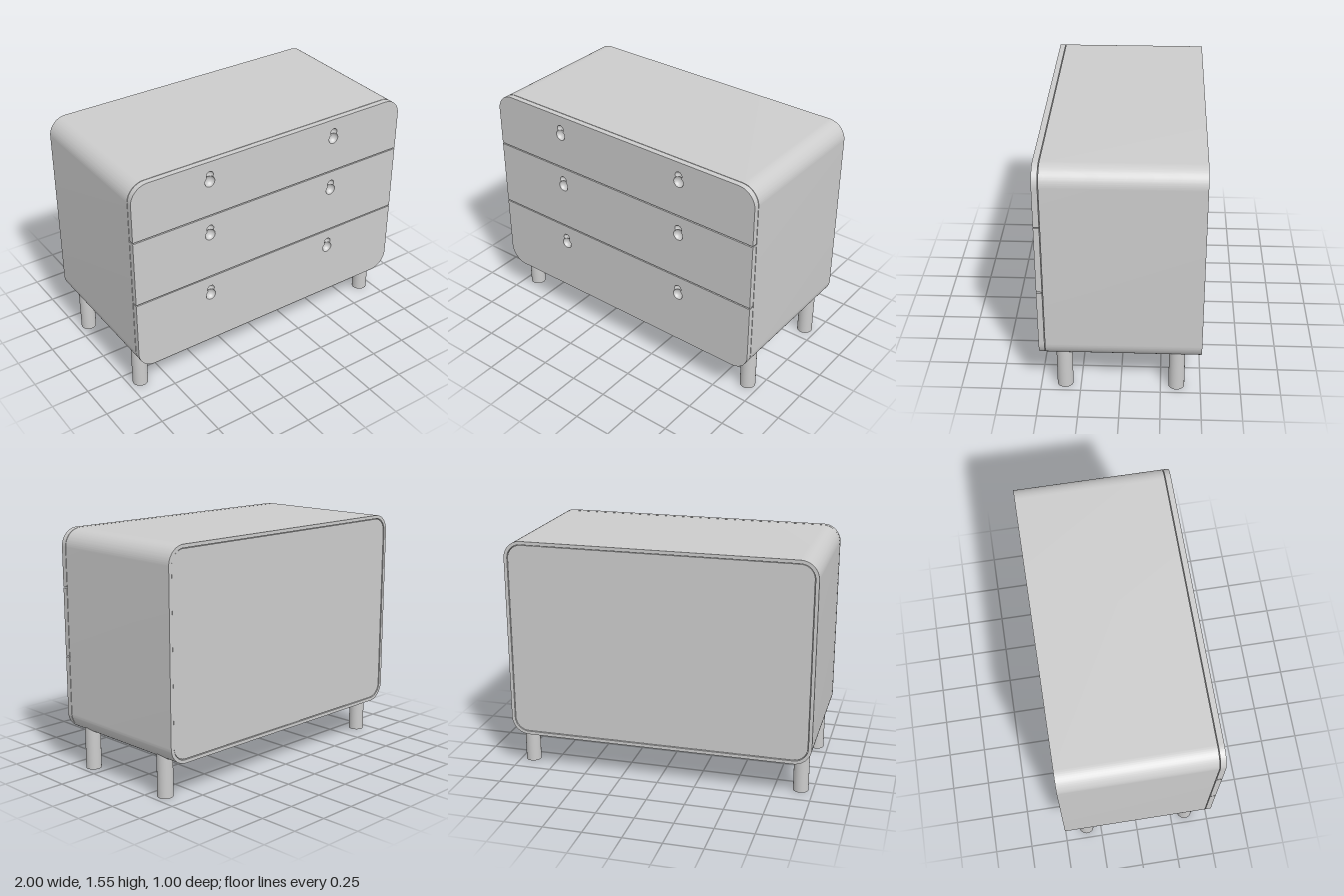
import * as THREE from 'three';
import { toCreasedNormals } from 'three/addons/utils/BufferGeometryUtils.js';

const BOTTOM = 0.242, TOP = 1.555, RADIUS = 0.115;

// Rounded rectangle with separate top and bottom corner radii
function panelShape(halfW, y0, y1, rBottom, rTop, Type = THREE.Shape) {
  const s = new Type();
  s.moveTo(-halfW + rBottom, y0);
  const corner = (x, y, r, a) => {
    if (r > 0) s.absarc(x, y, r, a, a + Math.PI / 2, false);
    else s.lineTo(x, y);
  };
  corner(halfW - rBottom, y0 + rBottom, rBottom, -Math.PI / 2);
  corner(halfW - rTop, y1 - rTop, rTop, 0);
  corner(-halfW + rTop, y1 - rTop, rTop, Math.PI / 2);
  corner(-halfW + rBottom, y0 + rBottom, rBottom, Math.PI);
  s.closePath();
  return s;
}

function extrude(shape, z0, z1) {
  const g = new THREE.ExtrudeGeometry(shape, { depth: z1 - z0, bevelEnabled: false, curveSegments: 16 });
  g.translate(0, 0, z0);
  return toCreasedNormals(g, 0.5);
}

// Keyhole outline: a large circle with a smaller one overlapping above it
const BIG = 0.035, SMALL = 0.025, RISE = 0.045;
function keyholeOutline() {
  const a = (RISE * RISE + BIG * BIG - SMALL * SMALL) / (2 * RISE);
  const h = Math.sqrt(BIG * BIG - a * a);
  const big = Math.atan2(h, a), small = Math.atan2(h, a - RISE);
  const pts = [];
  for (let i = 0; i <= 24; i++) {
    const t = big + (2 * Math.PI - 2 * big) * (i / 24);
    pts.push(new THREE.Vector2(-BIG * Math.sin(t), BIG * Math.cos(t)));
  }
  for (let i = 1; i < 16; i++) {
    const t = -small + 2 * small * (i / 16);
    pts.push(new THREE.Vector2(-SMALL * Math.sin(t), RISE + SMALL * Math.cos(t)));
  }
  return pts;
}

// Concave finger pull: two merged round bowls inside the keyhole outline
function bowlGeometry(outline) {
  const rings = 10, n = outline.length, pos = [], index = [];
  const cy = 0.025;
  for (let j = 0; j <= rings; j++) {
    const s = Math.cos((j / rings) * Math.PI / 2);
    for (const p of outline) {
      const x = p.x * s, y = cy + (p.y - cy) * s;
      const d1 = BIG * BIG - x * x - y * y;
      const d2 = SMALL * SMALL - x * x - (y - RISE) ** 2;
      pos.push(x, y, j === 0 ? 0 : -0.9 * Math.sqrt(Math.max(d1, d2, 0)));
    }
  }
  for (let j = 0; j < rings; j++) {
    for (let i = 0; i < n; i++) {
      const k = (i + 1) % n, a = j * n + i, b = j * n + k;
      index.push(a, b, a + n, b, b + n, a + n);
    }
  }
  const g = new THREE.BufferGeometry();
  g.setAttribute('position', new THREE.Float32BufferAttribute(pos, 3));
  g.setIndex(index);
  g.computeVertexNormals();
  return g;
}

export function createModel() {
  const group = new THREE.Group();
  const grey = new THREE.MeshStandardMaterial({ color: 0xcccccc });
  grey.name = 'light grey';
  const add = (name, geometry, parent = group) => {
    const m = new THREE.Mesh(geometry, grey);
    m.name = name;
    parent.add(m);
    return m;
  };

  // Rounded outer shell, open at front and back
  const wall = 0.022;
  const shell = panelShape(1, BOTTOM, TOP, RADIUS, RADIUS);
  shell.holes.push(panelShape(1 - wall, BOTTOM + wall, TOP - wall, RADIUS - wall, RADIUS - wall, THREE.Path));
  add('cabinetShell', extrude(shell, -0.5, 0.46));

  // Back panel set into the shell with a fine shadow gap
  const gap = wall + 0.004;
  add('backPanel', extrude(panelShape(1 - gap, BOTTOM + gap, TOP - gap, RADIUS - gap, RADIUS - gap), -0.496, -0.47));

  // Inner carcass behind the drawer fronts
  add('innerCarcass', extrude(panelShape(0.98, BOTTOM + 0.02, TOP - 0.02, 0.095, 0.095), -0.47, 0.464));

  // Drawer fronts with keyhole finger pulls
  const outline = keyholeOutline();
  const bowl = bowlGeometry(outline);
  const drawers = [
    { name: 'bottomDrawer', y0: BOTTOM, y1: 0.73, rb: RADIUS, rt: 0, pull: 0.595 },
    { name: 'middleDrawer', y0: 0.738, y1: 1.179, rb: 0, rt: 0, pull: 1.045 },
    { name: 'topDrawer', y0: 1.187, y1: TOP, rb: 0, rt: RADIUS, pull: 1.42 },
  ];
  for (const d of drawers) {
    const drawer = new THREE.Group();
    drawer.name = d.name;
    group.add(drawer);
    const shape = panelShape(1, d.y0, d.y1, d.rb, d.rt);
    for (const x of [-0.465, 0.465]) {
      shape.holes.push(new THREE.Path(outline.map(p => new THREE.Vector2(p.x + x, p.y + d.pull))));
      add('fingerPull', bowl, drawer).position.set(x, d.pull, 0.5);
    }
    add('drawerFront', extrude(shape, 0.464, 0.5), drawer);
  }

  // Round legs
  const legGeometry = new THREE.CylinderGeometry(0.05, 0.05, 0.3, 32);
  for (const x of [-0.92, 0.92]) {
    for (const z of [-0.35, 0.35]) add('leg', legGeometry).position.set(x, 0.15, z);
  }
  return group;
}
